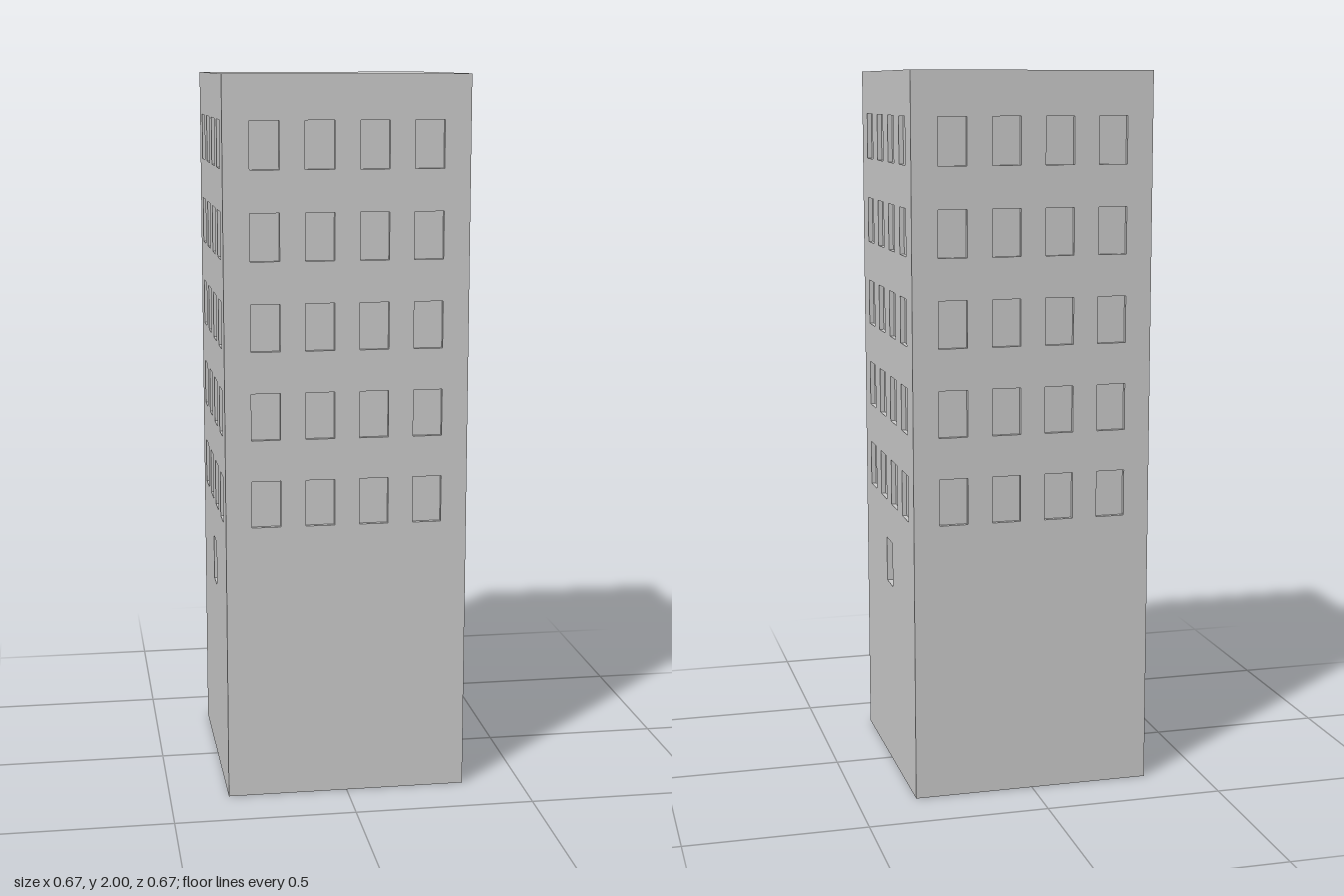
import * as THREE from 'three';
import { mergeGeometries } from 'three/addons/utils/BufferGeometryUtils.js';

const W = 0.671, H = 2;               // tower width and height
const OPEN_W = 0.08, OPEN_H = 0.129;  // size of every opening
const COLS = 4, ROWS = 5, COL_STEP = 0.149, ROW_STEP = 0.2435;
const NICHE_Y = 0.597;
const WINDOW_DEPTH = 0.0125, NICHE_DEPTH = 0.054;

const material = new THREE.MeshStandardMaterial({ color: 0xcccccc, flatShading: true });

function addMesh(parent, name, geometry) {
  const mesh = new THREE.Mesh(geometry, material);
  mesh.name = name;
  parent.add(mesh);
  return mesh;
}

// Inside of a box that is open towards +z
function recess({ x, y, depth }) {
  const g = new THREE.BoxGeometry(OPEN_W, OPEN_H, depth);
  const index = [...g.index.array];
  index.splice(24, 6);                // drop the outer face
  g.setIndex(index.reverse());        // turn the faces inwards
  const n = g.attributes.normal;
  for (let i = 0; i < n.array.length; i++) n.array[i] *= -1;
  return g.translate(x, y, -depth / 2);
}

// One side of the tower, facing +z, with its openings
function createSide(name, hasNiche) {
  const windows = [];
  for (let row = 1; row <= ROWS; row++) {
    for (let col = 0; col < COLS; col++) {
      windows.push({
        x: (col - (COLS - 1) / 2) * COL_STEP,
        y: NICHE_Y + row * ROW_STEP,
        depth: WINDOW_DEPTH,
      });
    }
  }
  const niches = hasNiche ? [{ x: 0, y: NICHE_Y, depth: NICHE_DEPTH }] : [];

  const wall = new THREE.Shape();
  wall.moveTo(-W / 2, 0).lineTo(W / 2, 0).lineTo(W / 2, H).lineTo(-W / 2, H).closePath();
  for (const { x, y } of [...windows, ...niches]) {
    const a = OPEN_W / 2, b = OPEN_H / 2;
    const hole = new THREE.Path();
    hole.moveTo(x - a, y - b).lineTo(x - a, y + b).lineTo(x + a, y + b).lineTo(x + a, y - b).closePath();
    wall.holes.push(hole);
  }

  const side = new THREE.Group();
  side.name = name;
  addMesh(side, 'wall', new THREE.ShapeGeometry(wall));
  addMesh(side, 'windows', mergeGeometries(windows.map(recess)));
  if (hasNiche) addMesh(side, 'niche', recess(niches[0]));
  return side;
}

export function createModel() {
  const tower = new THREE.Group();
  tower.name = 'tower';

  // Four sides; only the left and right ones have the deep niche
  ['frontSide', 'leftSide', 'backSide', 'rightSide'].forEach((name, i) => {
    const side = createSide(name, i % 2 === 1);
    const angle = (i * Math.PI) / 2;
    side.rotation.y = angle;
    side.position.set(Math.sin(angle) * W / 2, 0, Math.cos(angle) * W / 2);
    tower.add(side);
  });

  // Flat roof and underside
  addMesh(tower, 'roof', new THREE.PlaneGeometry(W, W).rotateX(-Math.PI / 2).translate(0, H, 0));
  addMesh(tower, 'base', new THREE.PlaneGeometry(W, W).rotateX(Math.PI / 2));
  return tower;
}
